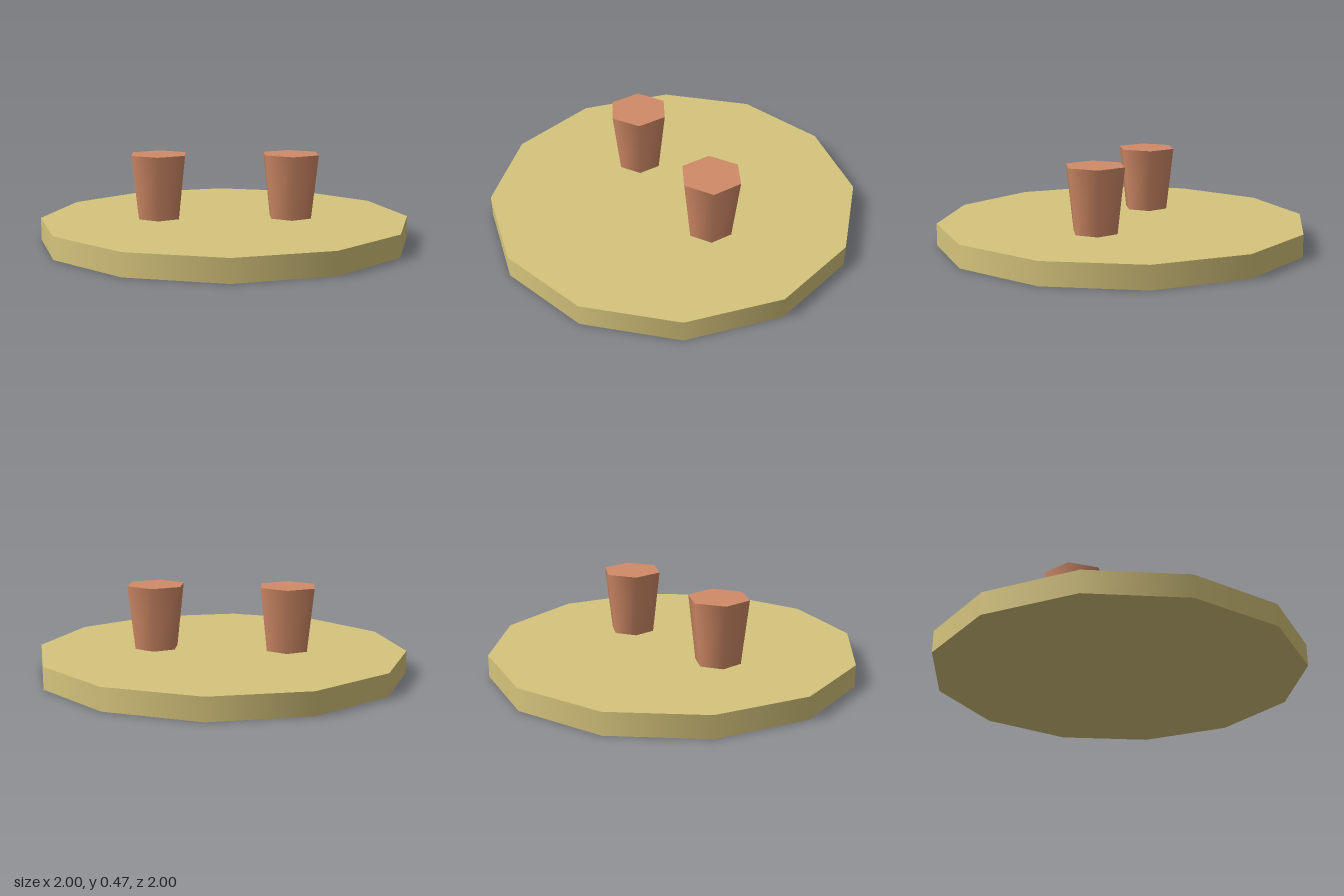
import * as THREE from 'three';

export function createModel() {
  const model = new THREE.Group();
  const baseHeight = 0.12;
  const pegHeight = 0.347;

  const baseMaterial = new THREE.MeshStandardMaterial({ color: 0xd6c47c });
  const pegMaterial = new THREE.MeshStandardMaterial({ color: 0xd08a66 });

  // Twelve-sided disc
  const base = new THREE.Mesh(new THREE.CylinderGeometry(1, 1, baseHeight, 12), baseMaterial);
  base.name = 'base';
  base.position.y = baseHeight / 2;
  model.add(base);

  // Two six-sided pegs, widening towards the top
  const pegGeometry = new THREE.CylinderGeometry(0.165, 0.124, pegHeight, 6);
  for (const [name, side] of [['leftPeg', 1], ['rightPeg', -1]]) {
    const peg = new THREE.Mesh(pegGeometry, pegMaterial);
    peg.name = name;
    peg.position.set(side * 0.357, baseHeight + pegHeight / 2, 0);
    model.add(peg);
  }

  return model;
}
